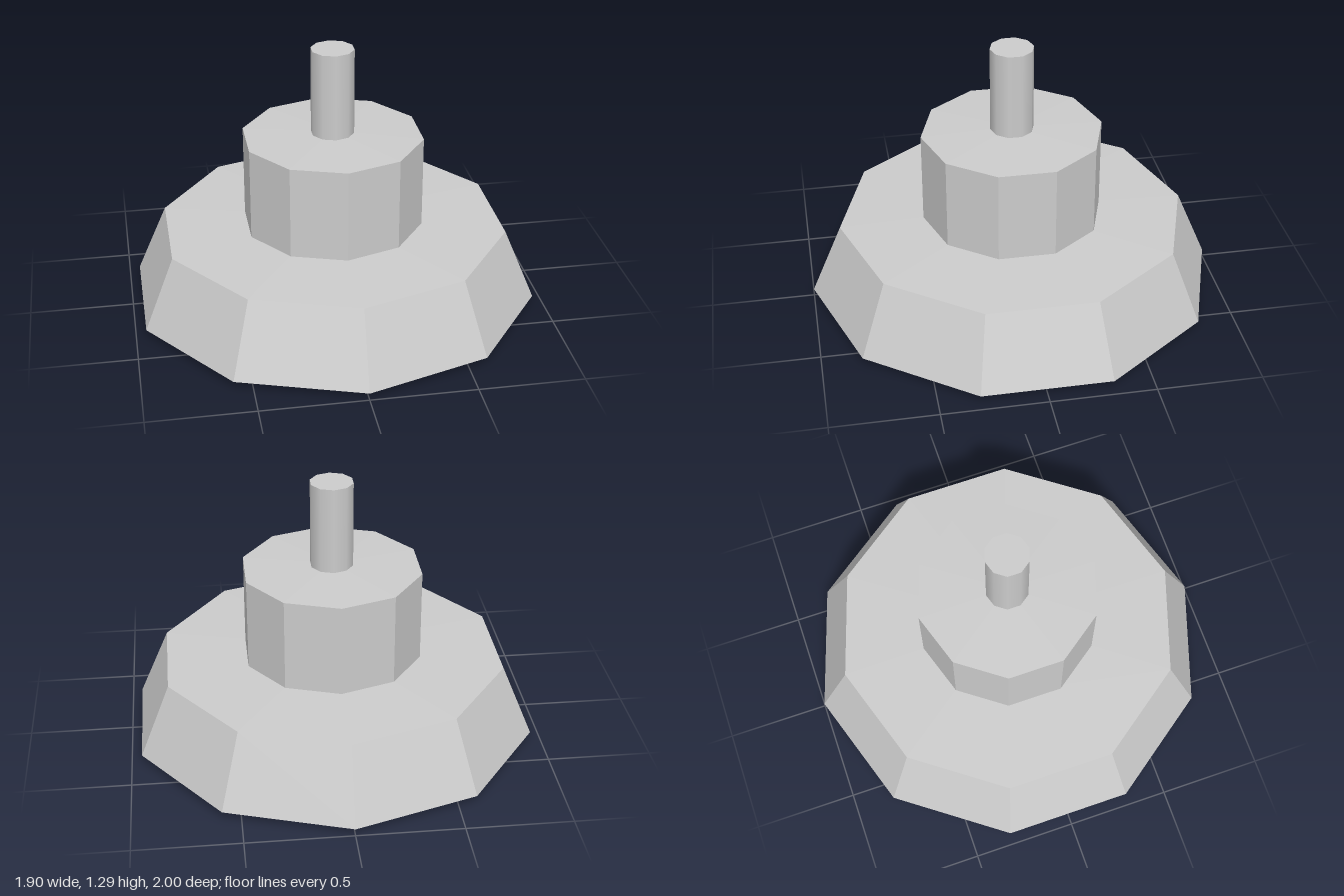
import * as THREE from 'three';

const SIDES = 10;
const CEILING = 0.17;

export function createModel() {
  const model = new THREE.Group();
  const faceted = new THREE.MeshStandardMaterial({ color: 0xcccccc, flatShading: true });
  const smooth = new THREE.MeshStandardMaterial({ color: 0xcccccc });

  // Turn a profile of [radius, height] points, listed so outer walls run upward
  const turned = (profile) =>
    new THREE.LatheGeometry(profile.map(([r, y]) => new THREE.Vector2(r, y)), SIDES);

  const add = (name, geometry, material, parent = model) => {
    const mesh = new THREE.Mesh(geometry, material);
    mesh.name = name;
    parent.add(mesh);
    return mesh;
  };

  // Flared head: recessed underside, thin rim, sloped side and shallow top
  add('head', turned([
    [0, CEILING], [0.9, CEILING], [0.99, 0.035], [1, 0.035],
    [0.85, 0.385], [0.42, 0.4], [0, 0.4],
  ]), faceted);

  // Hub with a slightly conical top
  add('hub', turned([[0.44, 0.39], [0.44, 0.852], [0, 0.868]]), faceted);

  // Round stem
  const stem = add('stem', new THREE.CylinderGeometry(0.105, 0.105, 0.44, SIDES), smooth);
  stem.position.y = 1.07;

  // Hollow nozzles on a square grid without its corners
  const nozzles = new THREE.Group();
  nozzles.name = 'nozzles';
  model.add(nozzles);
  const nozzleGeometry = turned([
    [0.062, CEILING], [0.062, 0], [0.085, 0], [0.085, CEILING],
  ]);
  for (let i = -2; i <= 2; i++) {
    for (let j = -2; j <= 2; j++) {
      if (Math.abs(i * j) === 4) continue;
      add('nozzle', nozzleGeometry, faceted, nozzles).position.set(i * 0.34, 0, j * 0.34);
    }
  }

  return model;
}
